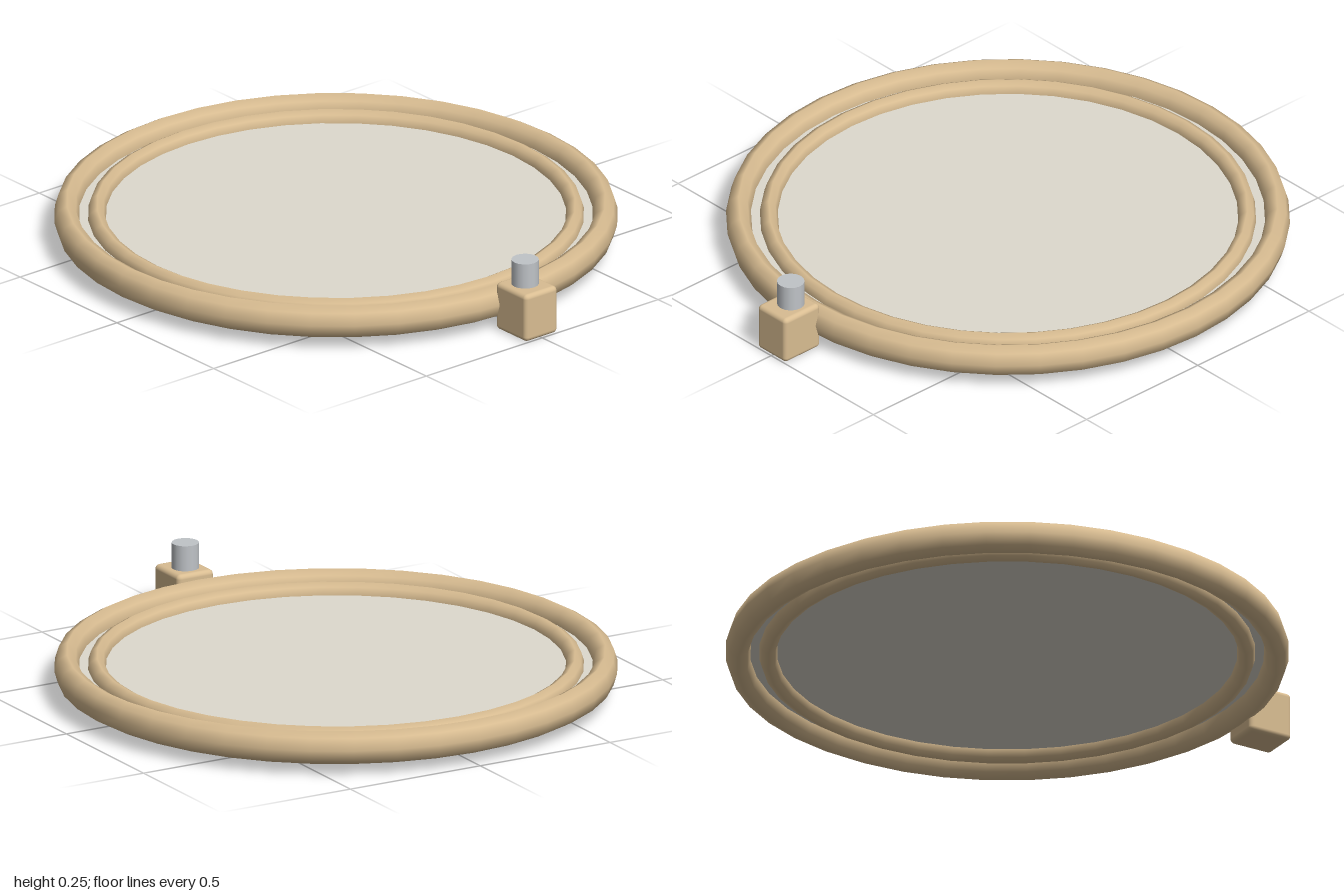
import * as THREE from 'three';
import { RoundedBoxGeometry } from 'three/addons/geometries/RoundedBoxGeometry.js';

const CENTRE_X = -0.065; // hoop centre; the clamp extends the model on +x
const MID_Y = 0.091;

export function createModel() {
  const model = new THREE.Group();
  model.name = 'embroideryHoop';
  const wood = new THREE.MeshStandardMaterial({ color: 0xd9bd92 });
  const metal = new THREE.MeshStandardMaterial({ color: 0xc0c4c8 });
  const cloth = new THREE.MeshStandardMaterial({ color: 0xdedace });

  const add = (name, geometry, material, x, y) => {
    const mesh = new THREE.Mesh(geometry, material);
    mesh.name = name;
    mesh.position.set(x, y, 0);
    model.add(mesh);
  };

  // Wooden ring: eight-sided section, taller than it is wide
  const ring = (radius, halfWidth, halfHeight) =>
    new THREE.TorusGeometry(radius, halfWidth, 8, 40)
      .rotateX(-Math.PI / 2)
      .scale(1, halfHeight / halfWidth, 1);

  add('outerRing', ring(0.893, 0.042, 0.057), wood, CENTRE_X, MID_Y);
  add('innerRing', ring(0.793, 0.031, 0.042), wood, CENTRE_X, MID_Y);

  // Cloth stretched across both rings
  add('fabric', new THREE.CylinderGeometry(0.87, 0.87, 0.008, 40), cloth, CENTRE_X, MID_Y);

  // Clamp block with its tightening screw
  add('clampBlock', new RoundedBoxGeometry(0.16, 0.168, 0.14, 3, 0.016), wood, 0.92, 0.084);
  add('clampScrew', new THREE.CylinderGeometry(0.046, 0.046, 0.17, 16), metal, 0.912, 0.17);

  return model;
}
